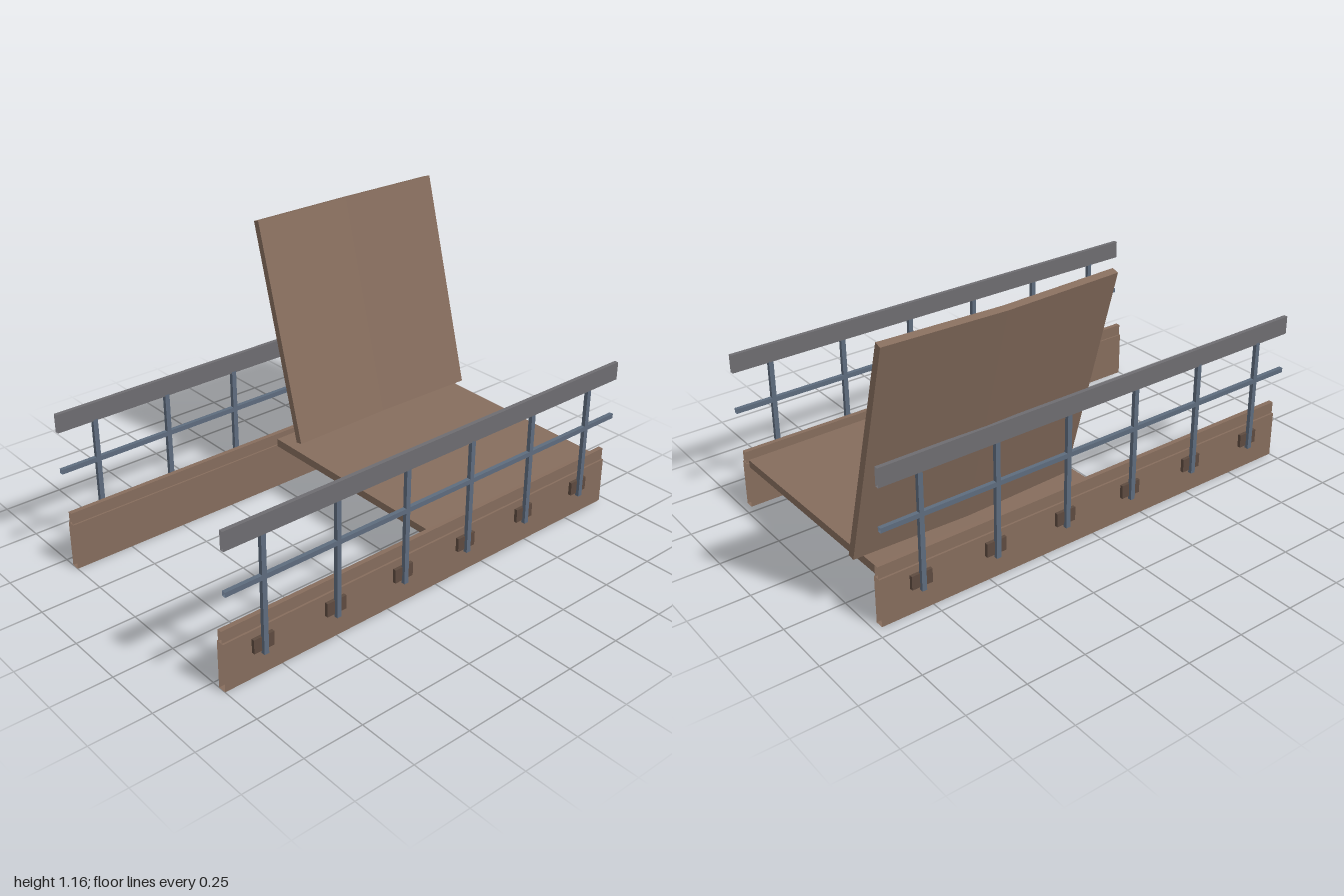
import * as THREE from 'three';

const mat = (name, color) => new THREE.MeshStandardMaterial({ name, color, side: THREE.DoubleSide, flatShading: true });

export function createModel() {
  const group = new THREE.Group();
  const brown = mat('rusty brown', 0x866d5d);
  const dark = mat('dark rust', 0x5e4b40);
  const grey = mat('weathered grey', 0x6e6d71);
  const blue = mat('worn blue grey', 0x5e6c7e);

  const add = (parent, name, geometry, material) => {
    const mesh = new THREE.Mesh(geometry, material);
    mesh.name = name;
    parent.add(mesh);
    return mesh;
  };

  // box given by its limits; open ones lose both end faces along z
  const box = (x0, x1, y0, y1, z0, z1, open = false) => {
    const g = new THREE.BoxGeometry(x1 - x0, y1 - y0, z1 - z0);
    g.translate((x0 + x1) / 2, (y0 + y1) / 2, (z0 + z1) / 2);
    if (open) {
      g.setIndex(Array.from(g.index.array.slice(0, 24)));
      g.clearGroups();
    }
    return g;
  };

  // slab lofted through four-cornered sections, front to back;
  // corners run counter-clockwise as seen from the front
  const loft = (sections) => {
    const pos = [];
    const index = [];
    sections.forEach(({ z, pts }) => pts.forEach(([x, y]) => pos.push(x, y, z)));
    for (let s = 0; s < sections.length - 1; s++) {
      for (let i = 0; i < 4; i++) {
        const a = s * 4 + i;
        const b = s * 4 + (i + 1) % 4;
        index.push(a, a + 4, b, b, a + 4, b + 4);
      }
    }
    const e = (sections.length - 1) * 4;
    index.push(0, 1, 2, 0, 2, 3, e, e + 2, e + 1, e, e + 3, e + 2);
    const g = new THREE.BufferGeometry();
    g.setAttribute('position', new THREE.Float32BufferAttribute(pos, 3));
    g.setIndex(index);
    const flat = g.toNonIndexed();
    flat.computeVertexNormals();
    return flat;
  };

  // slightly twisted deck plate
  add(group, 'deck', loft([
    { z: 0, pts: [[-0.415, 0.195], [0.537, 0.19], [0.537, 0.22], [-0.415, 0.23]] },
    { z: -0.48, pts: [[-0.415, 0.197], [0.537, 0.186], [0.537, 0.217], [-0.415, 0.232]] },
    { z: -0.96, pts: [[-0.415, 0.2], [0.537, 0.182], [0.537, 0.214], [-0.415, 0.235]] },
  ]), brown);

  // raised, bowed plate leaning outwards
  const panel = (z, dx, dy) => ({
    z,
    pts: [[-0.33, 0.235], [-0.3, 0.24], [-0.56, 1.165], [-0.588, 1.157]].map(([x, y]) => [x + dx, y + dy]),
  });
  add(group, 'raisedPlate', loft([panel(-0.038, 0, 0), panel(-0.52, -0.014, -0.005), panel(-1, 0, -0.003)]), brown);

  // girders and railings, mirrored about the bridge's own centre line
  const mid = 0.06;
  const front = 1;
  const back = -0.97;
  [1, -1].forEach((side) => {
    const s = new THREE.Group();
    s.name = side > 0 ? 'leftSide' : 'rightSide';
    group.add(s);
    // box between two distances from the centre line
    const part = (name, material, d0, d1, y0, y1, z0, z1, open) => {
      const a = mid + side * d0;
      const b = mid + side * d1;
      return add(s, name, box(Math.min(a, b), Math.max(a, b), y0, y1, z0, z1, open), material);
    };
    part('girder', brown, 0.475, 0.51, 0, 0.2, back, front, true);
    part('curb', brown, 0.482, 0.502, 0.2, 0.25, back, front, true);
    part('topRail', grey, 0.52, 0.537, 0.585, 0.662, back, front, true);
    part('middleRail', blue, 0.52, 0.537, 0.407, 0.427, back, front, true);
    for (let i = 0; i < 6; i++) {
      const z = 0.837 - i * 0.328;
      part('post', blue, 0.52, 0.537, 0.098, 0.59, z - 0.01, z + 0.01);
      part('bracket', dark, 0.508, 0.524, 0.11, 0.168, z - 0.044, z + 0.044);
    }
  });
  return group;
}
